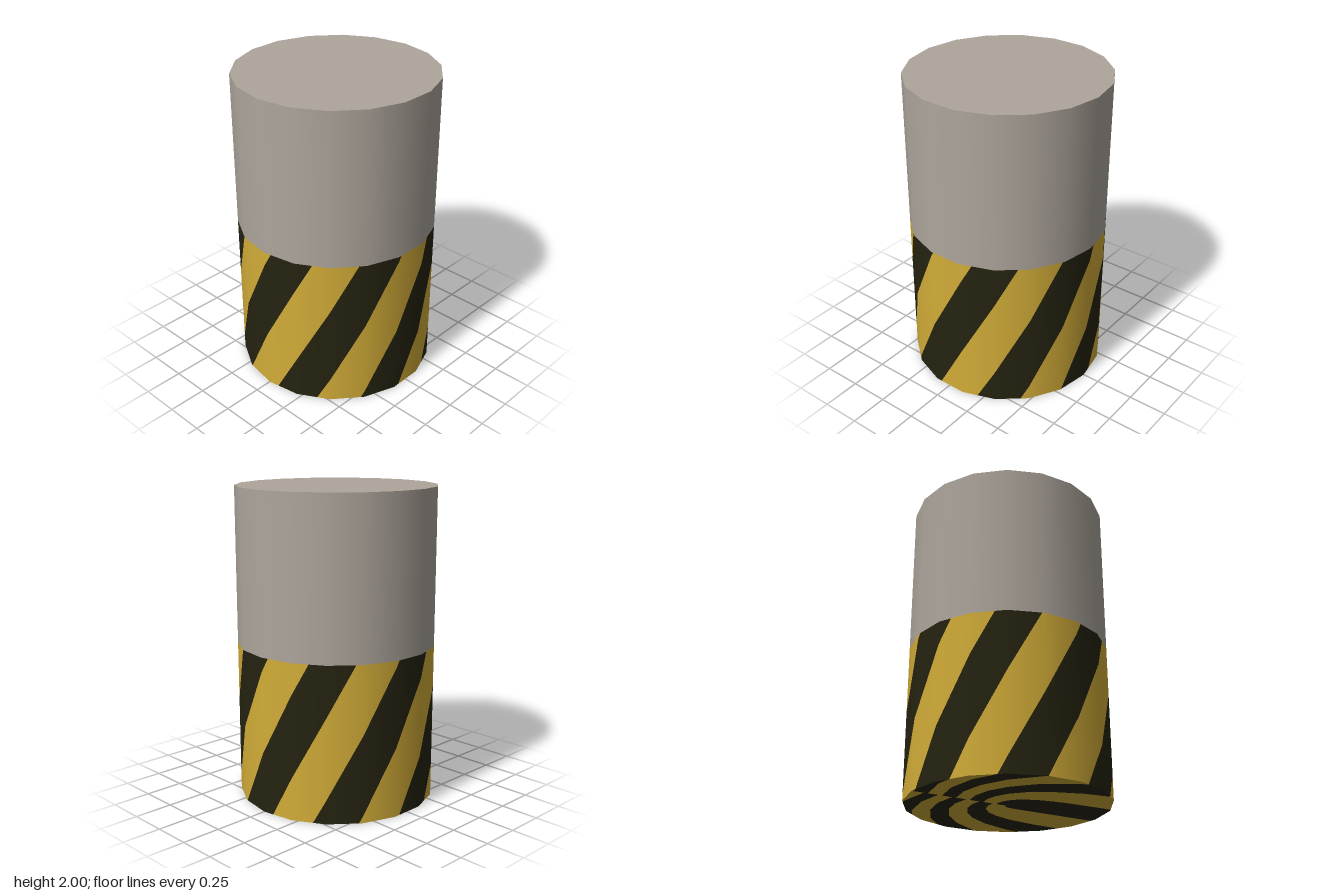
import * as THREE from 'three';

const SIDES = 18, RADIUS = 0.637, STEP = 360 / SIDES;
const SEAM = -190;            // angle where the stripe pattern starts, at the back
const HALF = 360 / 14;        // seven dark and seven yellow stripes
const LEAN = 49.5;            // degrees a stripe turns from bottom to top

const mat = (name, color) => {
  const m = new THREE.MeshStandardMaterial({ color });
  m.name = name;
  return m;
};

// Stripe number at an angle and height; even numbers are dark
const stripe = (deg, y) => (deg - 19.3 - LEAN * y) / HALF;

// A corner: position, normal and stripe number (angle 0 faces the front)
function rim(deg, y, down = false) {
  const a = THREE.MathUtils.degToRad(deg), s = Math.sin(a), c = Math.cos(a);
  const n = down ? [0, -1, 0] : [s, 0, c];
  return [RADIUS * s, y, RADIUS * c, ...n, stripe(deg, y)];
}

// Keep the part of a polygon on one side of a stripe edge
function clip(poly, limit, sign) {
  const out = [];
  poly.forEach((p, i) => {
    const q = poly[(i + 1) % poly.length];
    const dp = sign * (p[6] - limit), dq = sign * (q[6] - limit);
    if (dp >= 0) out.push(p);
    if (dp * dq < 0) out.push(p.map((v, k) => v + (q[k] - v) * dp / (dp - dq)));
  });
  return out;
}

// Cut a flat polygon into stripes and add the triangles to the dark or yellow list
function addStriped(poly, lists) {
  const f = poly.map(p => p[6]);
  for (let k = Math.floor(Math.min(...f)); k < Math.max(...f); k++) {
    const piece = clip(clip(poly, k, 1), k + 1, -1);
    const list = lists[Math.abs(k % 2)];
    for (let i = 1; i < piece.length - 1; i++) list.push(piece[0], piece[i], piece[i + 1]);
  }
}

function toMesh(corners, material, name) {
  const g = new THREE.BufferGeometry();
  g.setAttribute('position', new THREE.Float32BufferAttribute(corners.flatMap(p => p.slice(0, 3)), 3));
  g.setAttribute('normal', new THREE.Float32BufferAttribute(corners.flatMap(p => p.slice(3, 6)), 3));
  const mesh = new THREE.Mesh(g, material);
  mesh.name = name;
  return mesh;
}

export function createModel() {
  const group = new THREE.Group();
  group.name = 'stripedBollard';
  const grey = mat('warmGrey', 0xaea69c);
  const dark = mat('stripeBlack', 0x252310);
  const yellow = mat('stripeYellow', 0xd3ad38);

  // Plain upper half: wall and top
  const wall = new THREE.Mesh(
    new THREE.CylinderGeometry(RADIUS, RADIUS, 1, SIDES, 1, true, Math.PI / SIDES), grey);
  wall.position.y = 1.5;
  wall.name = 'upperWall';
  const top = new THREE.Mesh(new THREE.CircleGeometry(RADIUS, SIDES), grey);
  top.rotation.x = -Math.PI / 2;
  top.position.y = 2;
  top.name = 'topCap';
  group.add(wall, top);

  // Striped lower half: wall facets, and a base whose stripes bend round the centre
  const walls = [[], []], base = [[], []];
  const centre = [0, 0, 0, 0, -1, 0, stripe(SEAM + 180, 0)];
  for (let i = 0; i < SIDES; i++) {
    const a = SEAM + i * STEP, b = a + STEP;
    addStriped([rim(a, 0), rim(b, 0), rim(b, 1), rim(a, 1)], walls);
    addStriped([centre, rim(b, 0, true), rim(a, 0, true)], base);
  }
  group.add(
    toMesh(walls[0], dark, 'wallDarkStripes'),
    toMesh(walls[1], yellow, 'wallYellowStripes'),
    toMesh(base[0], dark, 'baseDarkStripes'),
    toMesh(base[1], yellow, 'baseYellowStripes'));
  return group;
}
